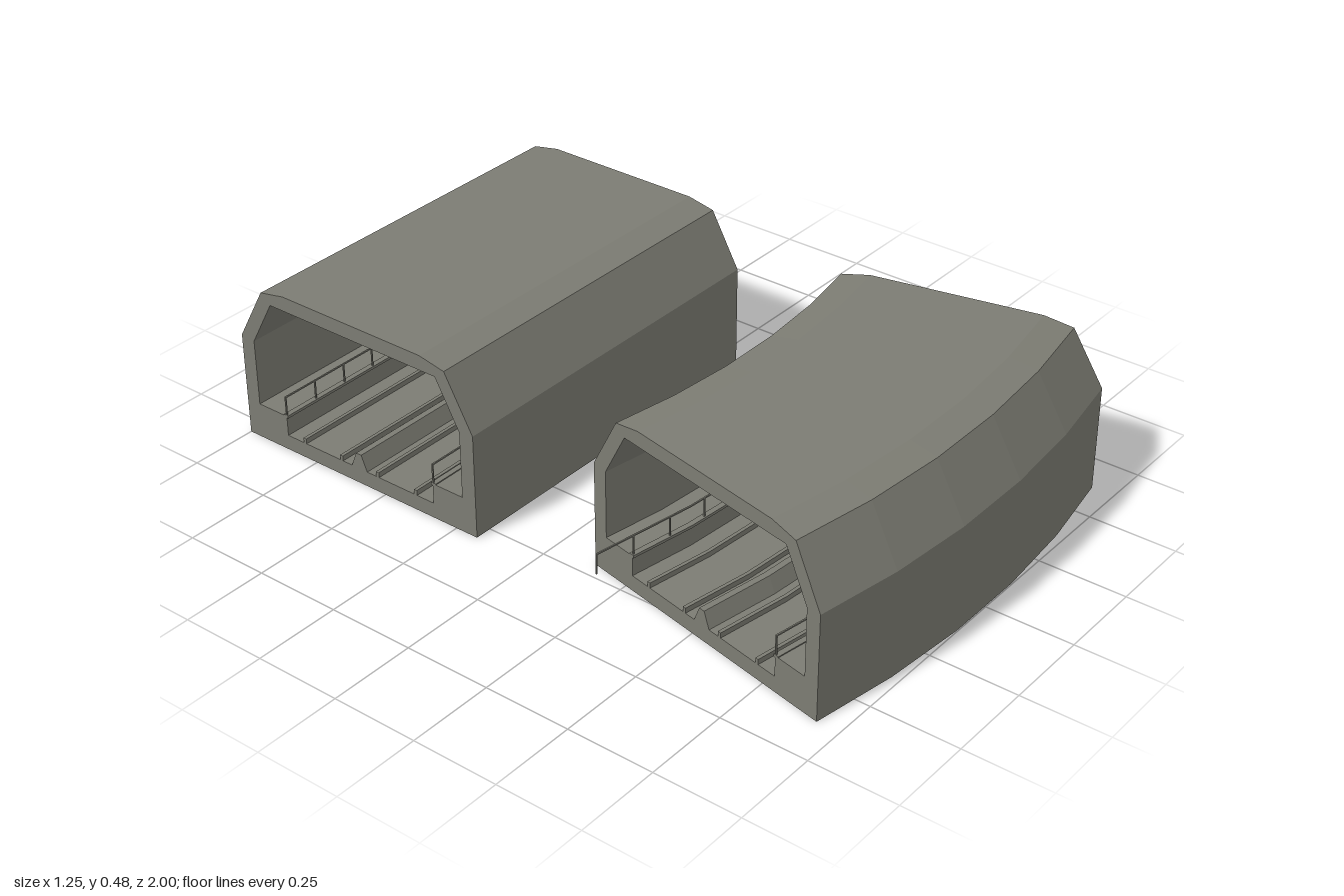
import * as THREE from 'three';

const concrete = new THREE.MeshStandardMaterial({ color: 0x7c7c73 });
concrete.name = 'concrete grey';
const cyan = new THREE.MeshStandardMaterial({ color: 0x20b4b8 });
cyan.name = 'sign cyan';

// Centre lines: s runs along the tunnel, u across it (towards +z), y up.
const straight = (s, u, y) => new THREE.Vector3(s, y, -0.59 + u);
const STEP = THREE.MathUtils.degToRad(4.8), SEGMENTS = 5, RADIUS = 2.59;
const arcPoint = (i, u, y) => {
  const a = (i - SEGMENTS / 2) * STEP, r = RADIUS + u;
  return new THREE.Vector3(Math.sin(a) * r, y, -2 + Math.cos(a) * r);
};
// Five straight chords; beyond the ends the last chord simply continues.
const curved = (s, u, y) => {
  const t = s / RADIUS / STEP + SEGMENTS / 2;
  const i = THREE.MathUtils.clamp(Math.floor(t), 0, SEGMENTS - 1);
  return arcPoint(i, u, y).lerp(arcPoint(i + 1, u, y), t - i);
};

const ring = (pts, clockwise) => {
  const r = pts.map(([u, y]) => new THREE.Vector2(u, y));
  return THREE.ShapeUtils.isClockWise(r) === clockwise ? r : r.reverse();
};

// Sweep a closed cross-section (with an optional hole) along the stations.
function sweep(name, place, stations, outline, material = concrete, hole = null) {
  const contour = ring(outline, false), holes = hole ? [ring(hole, true)] : [];
  const all = [contour, ...holes].flat(), pos = [];
  const tri = (...pts) => pts.forEach((p) => pos.push(p.x, p.y, p.z));
  const at = (s, p) => place(s, p.x, p.y);
  for (let k = 0; k + 1 < stations.length; k++) {
    const s0 = stations[k], s1 = stations[k + 1];
    for (const loop of [contour, ...holes]) loop.forEach((a, j) => {
      const b = loop[(j + 1) % loop.length];
      tri(at(s0, a), at(s1, a), at(s1, b));
      tri(at(s0, a), at(s1, b), at(s0, b));
    });
  }
  const first = stations[0], last = stations[stations.length - 1];
  for (const [a, b, c] of THREE.ShapeUtils.triangulateShape(contour, holes)) {
    tri(at(first, all[a]), at(first, all[b]), at(first, all[c]));
    tri(at(last, all[a]), at(last, all[c]), at(last, all[b]));
  }
  const geo = new THREE.BufferGeometry();
  geo.setAttribute('position', new THREE.Float32BufferAttribute(pos, 3));
  geo.computeVertexNormals();
  const mesh = new THREE.Mesh(geo, material);
  mesh.name = name;
  return mesh;
}

const rect = (u, w, y0, y1) => [[u - w / 2, y0], [u + w / 2, y0], [u + w / 2, y1], [u - w / 2, y1]];
const mirrored = (half) => [...half, ...half.map(([u, y]) => [-u, y]).reverse()];

// Plate lying on the sloped inner wall, between depths t0 and t1.
const slopePlate = (side, h, t0, t1) =>
  [[-h, t0], [h, t0], [h, t1], [-h, t1]].map(([d, t]) =>
    [side * (0.3265 - 0.486 * d - 0.874 * t), 0.37 + 0.874 * d - 0.486 * t]);

const OUTER = mirrored([[0.41, 0], [0.41, 0.305], [0.322, 0.462], [0.24, 0.478]]);
const INNER = mirrored([[0.263, 0.045], [0.263, 0.105], [0.365, 0.105], [0.365, 0.3], [0.29, 0.435]]);

function section(name, place, stations, railEnd) {
  const g = new THREE.Group();
  g.name = name;
  const end = stations[stations.length - 1];
  const add = (n, st, outline, mat, hole) => g.add(sweep(n, place, st, outline, mat, hole));

  // Shell with floor and side walkways
  add('tunnelShell', stations, OUTER, concrete, INNER);
  // Running rails and central divider
  for (const u of [-0.2, -0.065, 0.065, 0.2]) add('trackRail', stations, rect(u, 0.01, 0.044, 0.06));
  add('centralDivider', stations, [[-0.028, 0.044], [0.028, 0.044], [0.009, 0.09], [-0.009, 0.09]]);

  for (const side of [-1, 1]) {
    const u = side * 0.264;
    add('walkwayLip', stations, rect(side * 0.266, 0.016, 0.1, 0.108));
    // Handrail and posts
    const e = railEnd(side);
    add('handrail', [-e, ...stations.slice(1, -1), e], rect(u, 0.004, 0.161, 0.165));
    for (let i = 0; i <= 10; i++) {
      const s = -e + 0.002 + (i / 10) * (2 * e - 0.004);
      add('railPost', [s - 0.002, s + 0.002], rect(u, 0.004, 0.105, 0.163));
    }
    // Illuminated signs near both ends
    for (const dir of [-1, 1]) {
      const s = dir * (end - 0.17);
      add('signCase', [s - 0.06, s + 0.06], slopePlate(side, 0.027, -0.002, 0.01));
      add('signFace', [s - 0.054, s + 0.054], slopePlate(side, 0.021, 0.009, 0.013), cyan);
    }
  }
  return g;
}

export function createModel() {
  const model = new THREE.Group();
  model.name = 'tunnelSections';
  const half = RADIUS * STEP * SEGMENTS / 2;
  const arcStations = Array.from({ length: SEGMENTS + 1 }, (_, i) => (i - SEGMENTS / 2) * RADIUS * STEP);
  model.add(section('straightTunnel', straight, [-0.55, 0.55], () => 0.55));
  // On the tighter inner side the handrail runs past the ends
  model.add(section('curvedTunnel', curved, arcStations, (side) => (side < 0 ? half + 0.13 : half)));
  return model;
}
